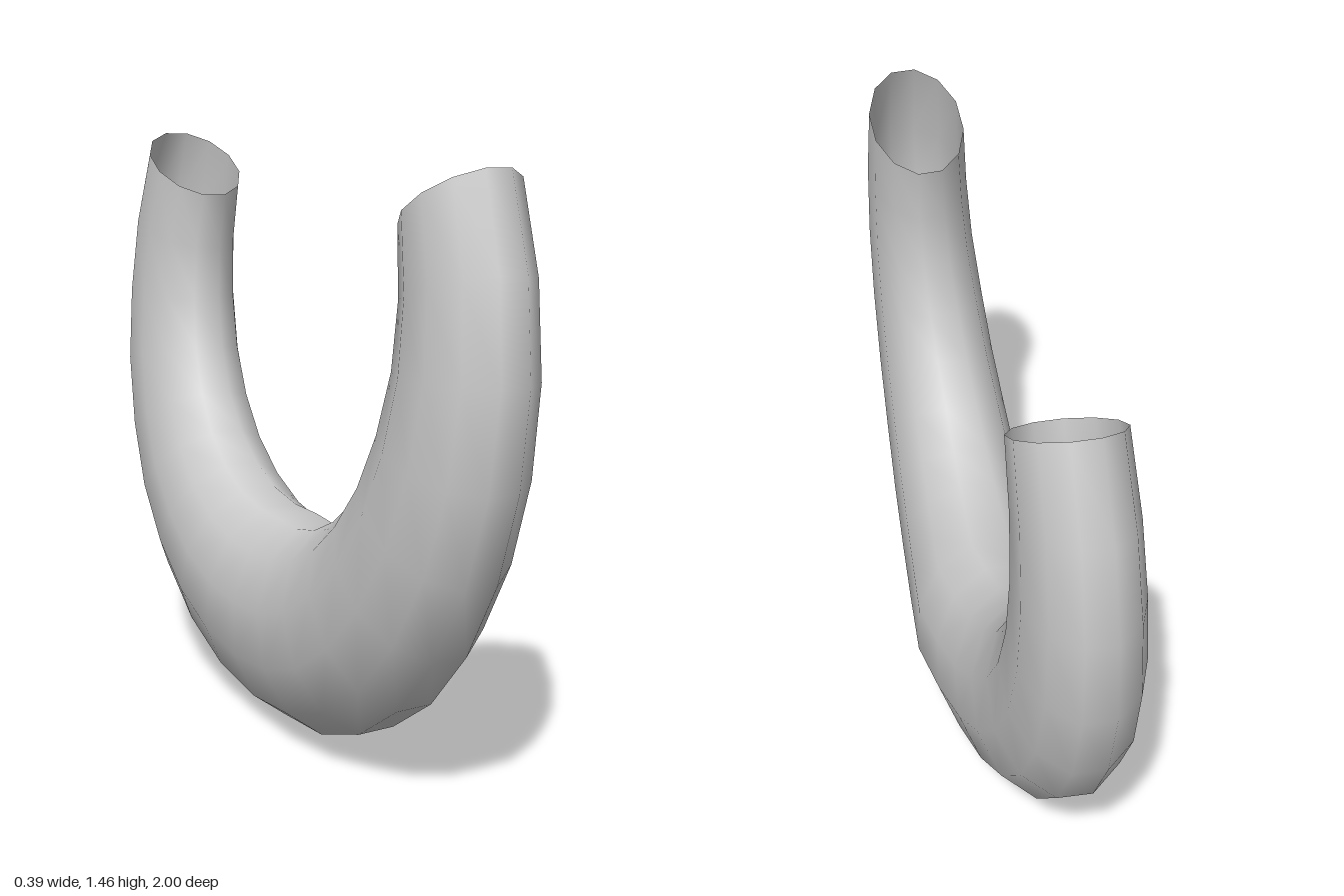
import * as THREE from 'three';

const SIDES = 12, STEPS = 9, END = THREE.MathUtils.degToRad(117.3), TURN = THREE.MathUtils.degToRad(-13);

// Linear lookup in a short list of [degrees, value] pairs
function lookup(table, d) {
  for (let i = 1; i < table.length; i++) {
    const [a, va] = table[i - 1], [b, vb] = table[i];
    if (d <= b) return THREE.MathUtils.lerp(va, vb, (d - a) / (b - a));
  }
  return table[table.length - 1][1];
}

// Sideways limits of the tube, by angle away from the lowest point
const leftEdge = [[0, 0.197], [15, 0.178], [30, 0.162], [50, 0.147], [70, 0.14], [118, 0.14]];
const rightEdge = [[0, -0.197], [30, -0.198], [50, -0.189], [75, -0.163], [90, -0.14], [118, -0.104]];

// Open tapering tube bent around an axis along x at y = 1
function bentTube() {
  const pos = [], index = [];
  for (let i = -STEPS; i <= STEPS; i++) {
    const theta = (i / STEPS) * END;
    const t = Math.abs(i) / STEPS, deg = THREE.MathUtils.radToDeg(Math.abs(theta));
    const inner = 0.47 + 0.19 * Math.pow(t, 1.35);
    const mid = (1 + inner) / 2, half = (1 - inner) / 2 / Math.cos(TURN);
    const x1 = lookup(leftEdge, deg), x0 = lookup(rightEdge, deg);
    for (let j = 0; j < SIDES; j++) {
      const phi = TURN + (j / SIDES) * Math.PI * 2;
      const r = mid + half * Math.cos(phi);
      pos.push((x0 + x1) / 2 + ((x1 - x0) / 2) * Math.sin(phi), 1 - r * Math.cos(theta), r * Math.sin(theta));
    }
  }
  for (let i = 0; i < STEPS * 2; i++) {
    for (let j = 0; j < SIDES; j++) {
      const k = (j + 1) % SIDES;
      const a = i * SIDES + j, b = i * SIDES + k, c = a + SIDES, d = b + SIDES;
      index.push(a, b, c, b, d, c);
    }
  }
  const geo = new THREE.BufferGeometry();
  geo.setAttribute('position', new THREE.Float32BufferAttribute(pos, 3));
  geo.setIndex(index);
  geo.computeVertexNormals();
  return geo;
}

export function createModel() {
  const group = new THREE.Group();
  group.name = 'bentTubeModel';
  const grey = new THREE.MeshStandardMaterial({ color: 0xcccccc, side: THREE.DoubleSide });
  grey.name = 'light grey';
  const tube = new THREE.Mesh(bentTube(), grey);
  tube.name = 'bentTube';
  group.add(tube);
  return group;
}
